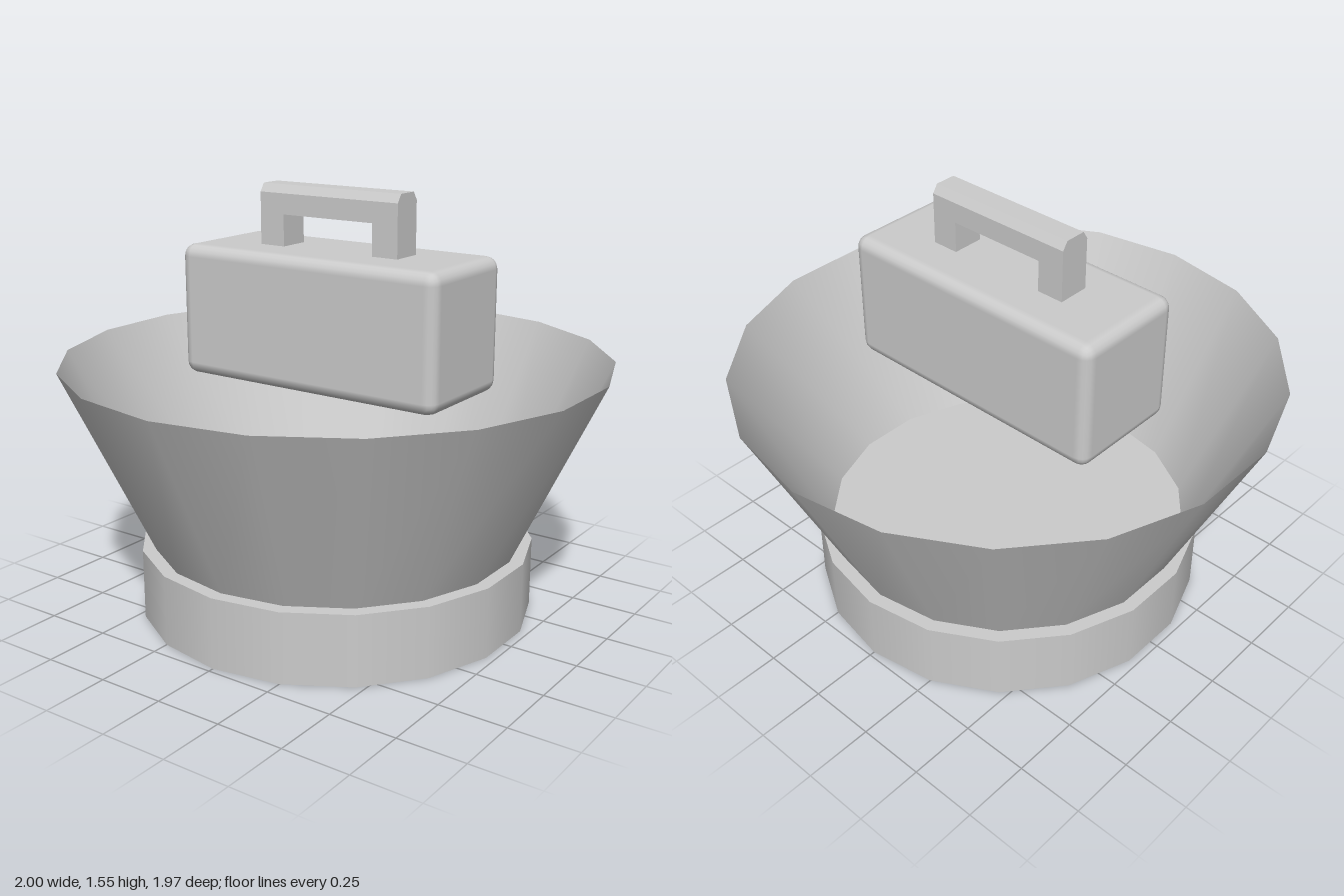
import * as THREE from 'three';
import { RoundedBoxGeometry } from 'three/addons/geometries/RoundedBoxGeometry.js';

const SIDES = 18;

export function createModel() {
  const model = new THREE.Group();
  model.name = 'bowlWithHandledBox';
  const grey = new THREE.MeshStandardMaterial({ color: 0xcccccc });
  const thinGrey = new THREE.MeshStandardMaterial({ color: 0xcccccc, side: THREE.DoubleSide });

  const add = (name, geometry, x, y, z, material = grey, parent = model) => {
    const mesh = new THREE.Mesh(geometry, material);
    mesh.name = name;
    mesh.position.set(x, y, z);
    parent.add(mesh);
    return mesh;
  };

  // Solid foot, its top closing the bottom of the bowl
  const foot = new THREE.CylinderGeometry(0.73, 0.73, 0.26, SIDES).rotateY(Math.PI / 2);
  add('base', foot, 0, 0.13, 0);

  // Thin flared wall, open at the top
  const wall = new THREE.CylinderGeometry(1, 0.68, 0.685, SIDES, 1, true).rotateY(Math.PI / 2);
  add('bowlWall', wall, 0, 0.6025, 0, thinGrey);

  // Box held inside the rim
  add('box', new RoundedBoxGeometry(0.45, 0.485, 1.085, 2, 0.045), 0, 1.0925, 0);

  // Handle: a bar with chamfered top edges on two legs
  const handle = new THREE.Group();
  handle.name = 'handle';
  model.add(handle);
  const profile = new THREE.Shape([
    [-0.06, 1.45], [0.06, 1.45], [0.06, 1.525], [0.04, 1.555], [-0.04, 1.555], [-0.06, 1.525],
  ].map(([x, y]) => new THREE.Vector2(x, y)));
  const bar = new THREE.ExtrudeGeometry(profile, { depth: 0.586, bevelEnabled: false });
  add('handleBar', bar, 0, 0, -0.293, grey, handle);
  for (const [name, side] of [['frontLeg', 1], ['backLeg', -1]]) {
    add(name, new THREE.BoxGeometry(0.12, 0.13, 0.103), 0, 1.385, side * 0.2415, grey, handle);
  }

  return model;
}
